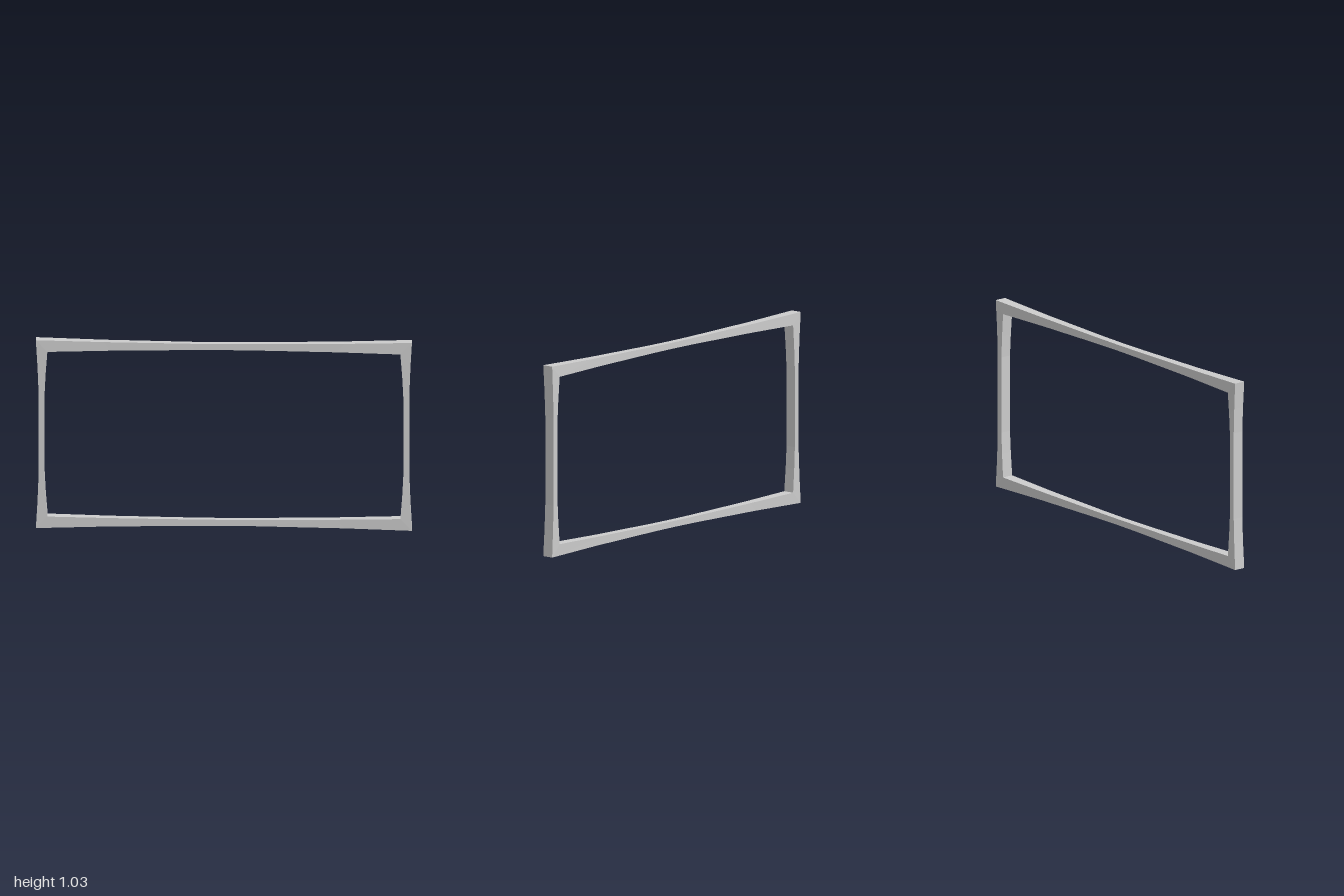
import * as THREE from 'three';

const H = 1.035;          // overall height
const HALF_DEPTH = 0.0315; // depth at the corners

// Taper curves: [position from middle (0) to corner (1), flare amount]
const RAIL = { taper: [[0, 0], [0.17, 0.05], [0.64, 0.45], [1, 1]],
  half: 1, innerHalf: 0.939, edge: H / 2, width: 0.064, inset: 0.017, innerMid: 0.05, depth: 0.02 };
const POST = { taper: [[0, 0], [0.46, 0], [0.72, 0.38], [1, 1]],
  half: H / 2, innerHalf: H / 2 - 0.064, edge: 1, width: 0.061, inset: 0.014, innerMid: 0.045, depth: 0.0295 };

// One mitred bar, narrow in the middle and flaring to its corners, lying along the bottom edge
function makeBar(name, s, angle, material) {
  const stations = [
    ...s.taper.slice(1).reverse().map(([t, f]) => [-t, f]),
    ...s.taper,
  ];
  const lerp = THREE.MathUtils.lerp;
  const sections = stations.map(([t, f]) => {
    const outerY = -s.edge + lerp(s.inset, 0, f);
    const innerY = -s.edge + lerp(s.innerMid, s.width, f);
    const z = lerp(s.depth, HALF_DEPTH, f);
    const xo = t * s.half, xi = t * s.innerHalf;
    return [[xo, outerY, z], [xi, innerY, z], [xi, innerY, -z], [xo, outerY, -z]];
  });

  const positions = [];
  for (let i = 0; i < sections.length - 1; i++) {
    const p = sections[i], q = sections[i + 1];
    for (let a = 0; a < 4; a++) {
      const b = (a + 1) % 4;
      positions.push(...p[a], ...q[a], ...q[b], ...p[a], ...q[b], ...p[b]);
    }
  }
  const geometry = new THREE.BufferGeometry();
  geometry.setAttribute('position', new THREE.Float32BufferAttribute(positions, 3));
  geometry.rotateZ(angle);
  geometry.translate(0, H / 2, 0);
  geometry.computeVertexNormals();
  const mesh = new THREE.Mesh(geometry, material);
  mesh.name = name;
  return mesh;
}

export function createModel() {
  const group = new THREE.Group();
  group.name = 'frame';
  const material = new THREE.MeshStandardMaterial({ color: 0xcccccc, flatShading: true });
  // Four bars, each turned a further quarter around the opening
  [['bottomRail', RAIL], ['leftPost', POST], ['topRail', RAIL], ['rightPost', POST]]
    .forEach(([name, shape], i) => group.add(makeBar(name, shape, i * Math.PI / 2, material)));
  return group;
}
